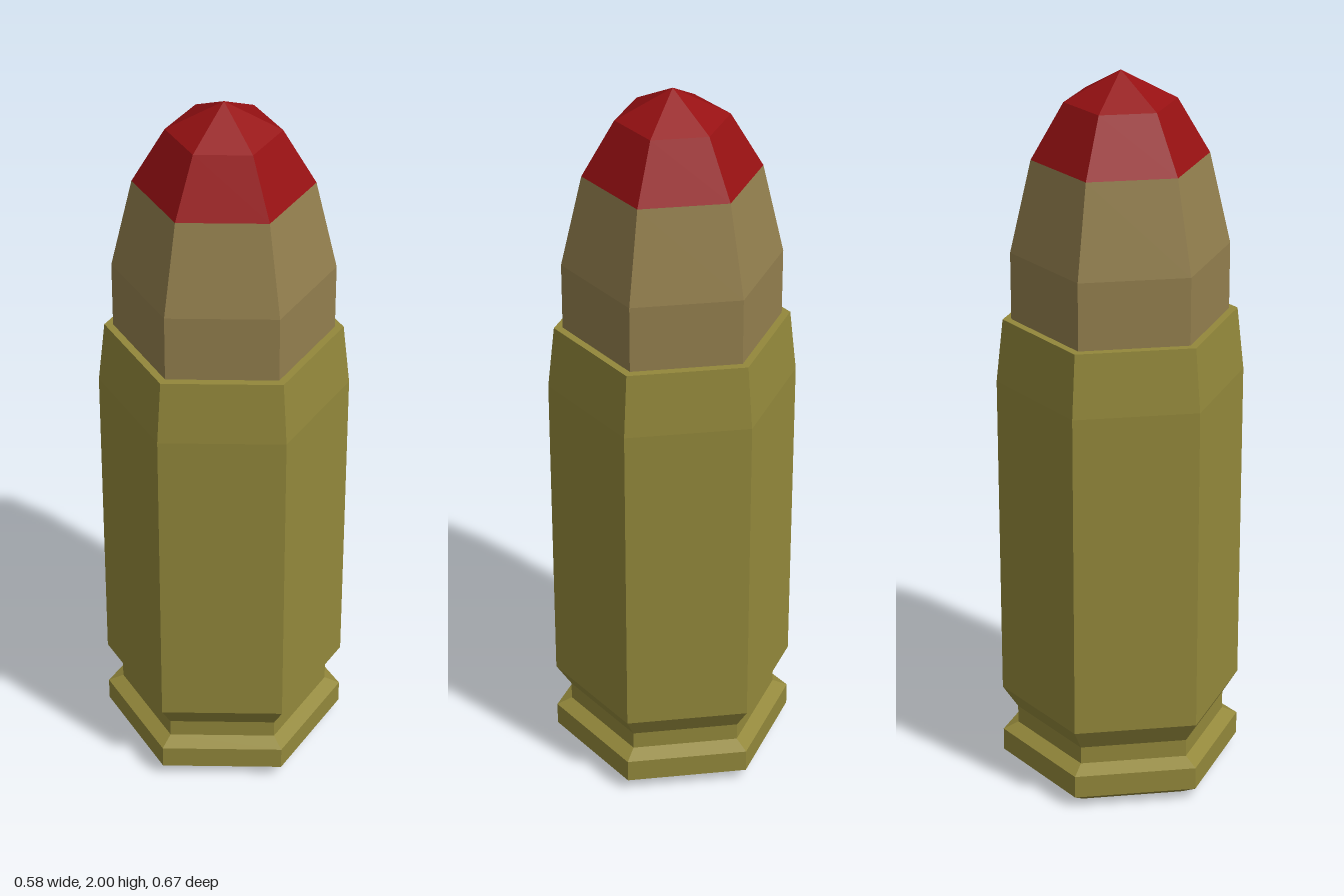
import * as THREE from 'three';

const SIDES = 6;

export function createModel() {
  const brass = new THREE.MeshStandardMaterial({ color: 0x93883b });
  brass.name = 'brass';
  const copper = new THREE.MeshStandardMaterial({ color: 0x937f4e });
  copper.name = 'tan copper';
  const red = new THREE.MeshStandardMaterial({ color: 0x961012 });
  red.name = 'red tip paint';

  const model = new THREE.Group();
  model.name = 'cartridge';

  // Six-sided turned part with hard facets; profile is [radius, height], bottom to top
  function turned(name, profile, material) {
    const points = profile.map(([r, y]) => new THREE.Vector2(r, y));
    const geometry = new THREE.LatheGeometry(points, SIDES).toNonIndexed();
    geometry.computeVertexNormals();
    const mesh = new THREE.Mesh(geometry, material);
    mesh.name = name;
    model.add(mesh);
  }

  // Primer set flush in the base
  turned('primer', [[0, 0], [0.15, 0]], copper);

  // Rim, extractor groove, straight wall and tapered mouth
  turned('case', [
    [0.15, 0], [0.277, 0], [0.333, 0.035], [0.333, 0.1],
    [0.291, 0.12], [0.291, 0.17], [0.333, 0.235],
    [0.333, 1.16], [0.314, 1.335], [0.291, 1.335],
  ], brass);

  // Bullet jacket
  turned('bullet', [[0.291, 1.335], [0.291, 1.52], [0.234, 1.77]], copper);

  // Painted nose
  turned('tip', [[0.234, 1.77], [0.148, 1.92], [0, 2]], red);

  return model;
}
